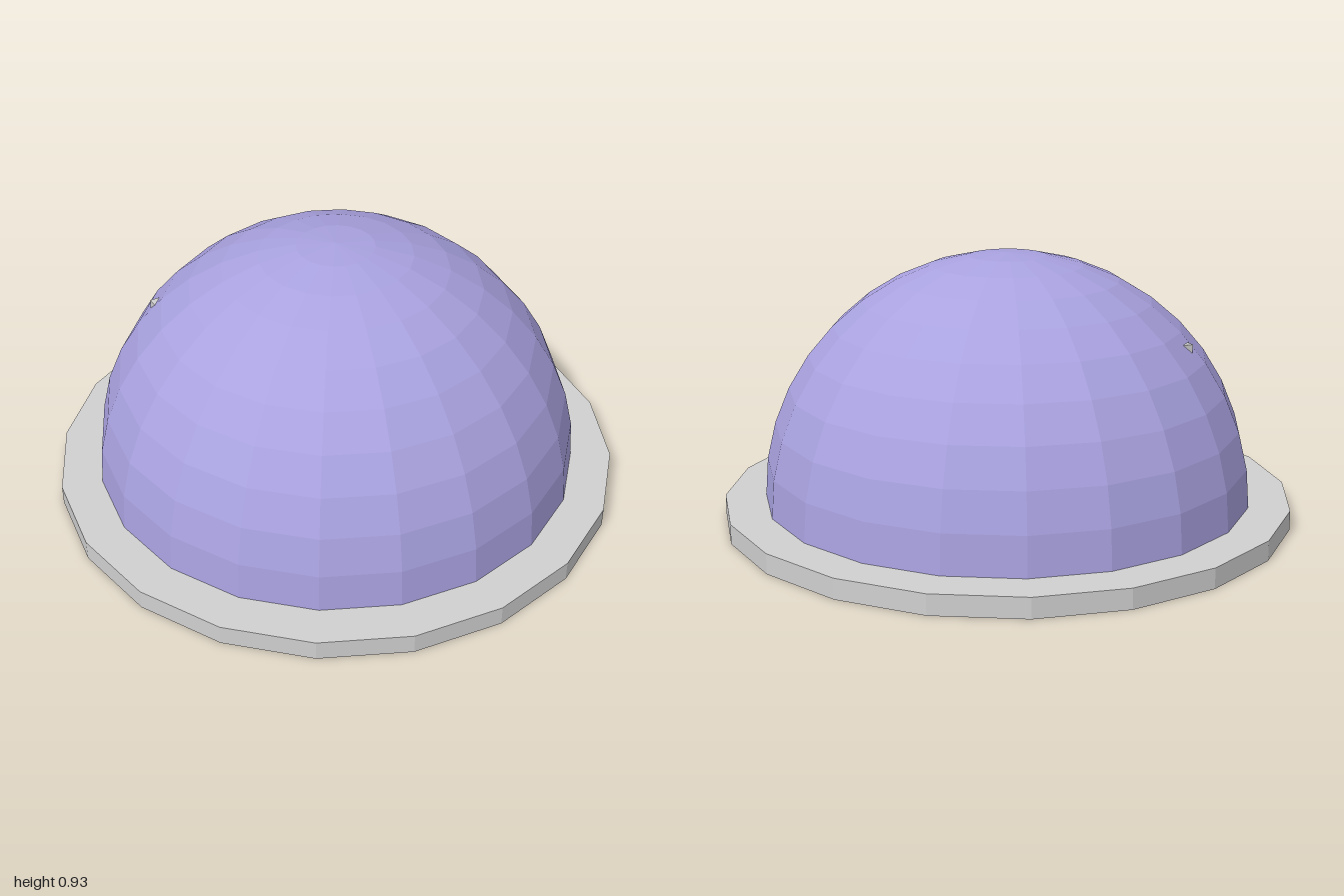
import * as THREE from 'three';

const FLOOR = 0.07, SIDES = 20;

function material(name, color, flatShading = true) {
  const m = new THREE.MeshStandardMaterial({ color, side: THREE.DoubleSide, flatShading });
  m.name = name;
  return m;
}

export function createModel() {
  const model = new THREE.Group();
  model.name = 'domedSettlement';

  const lavender = material('lavender', 0xa9a2e0);
  const gray = material('light gray', 0xd0d0d0);
  const purple = material('deep purple', 0x4f0ca6);
  const green = material('green', 0x16a868);
  const teal = material('teal', 0x149496);

  function add(parent, name, geometry, mat, x = 0, y = 0, z = 0) {
    const mesh = new THREE.Mesh(geometry, mat);
    mesh.name = name;
    mesh.position.set(x, y, z);
    parent.add(mesh);
    return mesh;
  }

  // Box without its bottom face, given by its extents
  function building(name, mat, x0, x1, z0, z1, y0, y1) {
    const geometry = new THREE.BoxGeometry(x1 - x0, y1 - y0, z1 - z0);
    const faces = Array.from(geometry.index.array);
    faces.splice(18, 6);
    geometry.setIndex(faces);
    geometry.clearGroups();
    return add(buildings, name, geometry, mat, (x0 + x1) / 2, (y0 + y1) / 2, (z0 + z1) / 2);
  }

  // Base: open-bottomed rim with a floor on top
  add(model, 'baseRim', new THREE.CylinderGeometry(1, 1, FLOOR, SIDES, 1, true), gray, 0, FLOOR / 2, 0);
  const floor = new THREE.CircleGeometry(1, SIDES).rotateX(-Math.PI / 2);
  add(model, 'baseFloor', floor, gray, 0, FLOOR, 0);

  // Faceted dome
  const dome = new THREE.SphereGeometry(0.857, SIDES, 10, 0, Math.PI * 2, 0, Math.PI / 2);
  add(model, 'dome', dome, lavender, 0, FLOOR, 0);

  // Buildings under the dome, their walls reaching a little below the floor
  const buildings = new THREE.Group();
  buildings.name = 'buildings';
  model.add(buildings);

  building('longHall', purple, -0.14, 0.505, -0.57, -0.2, 0.02, 0.36);
  building('tower', lavender, -0.505, -0.24, -0.415, -0.13, 0.03, 0.61);
  building('towerRoof', gray, -0.505, -0.24, -0.415, -0.13, 0.61, 0.645);
  building('sideHall', lavender, -0.71, -0.33, -0.073, 0.294, 0.025, 0.33);
  building('lowHall', purple, 0.06, 0.4, 0.31, 0.61, 0.06, 0.25);
  for (const x of [-0.115, 0.16, 0.44]) {
    building('rowHouse', lavender, x, x + 0.232, -0.105, 0.25, 0.06, 0.25);
  }

  // Small huts, scattered around the halls
  const hut = 0.058;
  const huts = (name, mat, spots) => spots.forEach(([x, z]) =>
    building(name, mat, x - hut, x + hut, z - hut, z + hut, 0.047, 0.18));
  huts('greenHut', green, [
    [0.665, -0.225], [-0.087, -0.7], [-0.235, -0.535], [0.54, 0.437],
    [-0.196, 0.05], [-0.627, -0.25], [-0.109, 0.66], [-0.585, 0.431]]);
  huts('tealHut', teal, [
    [0.132, -0.688], [-0.418, -0.536], [-0.096, 0.426], [-0.334, 0.426], [-0.338, 0.668]]);

  return model;
}
